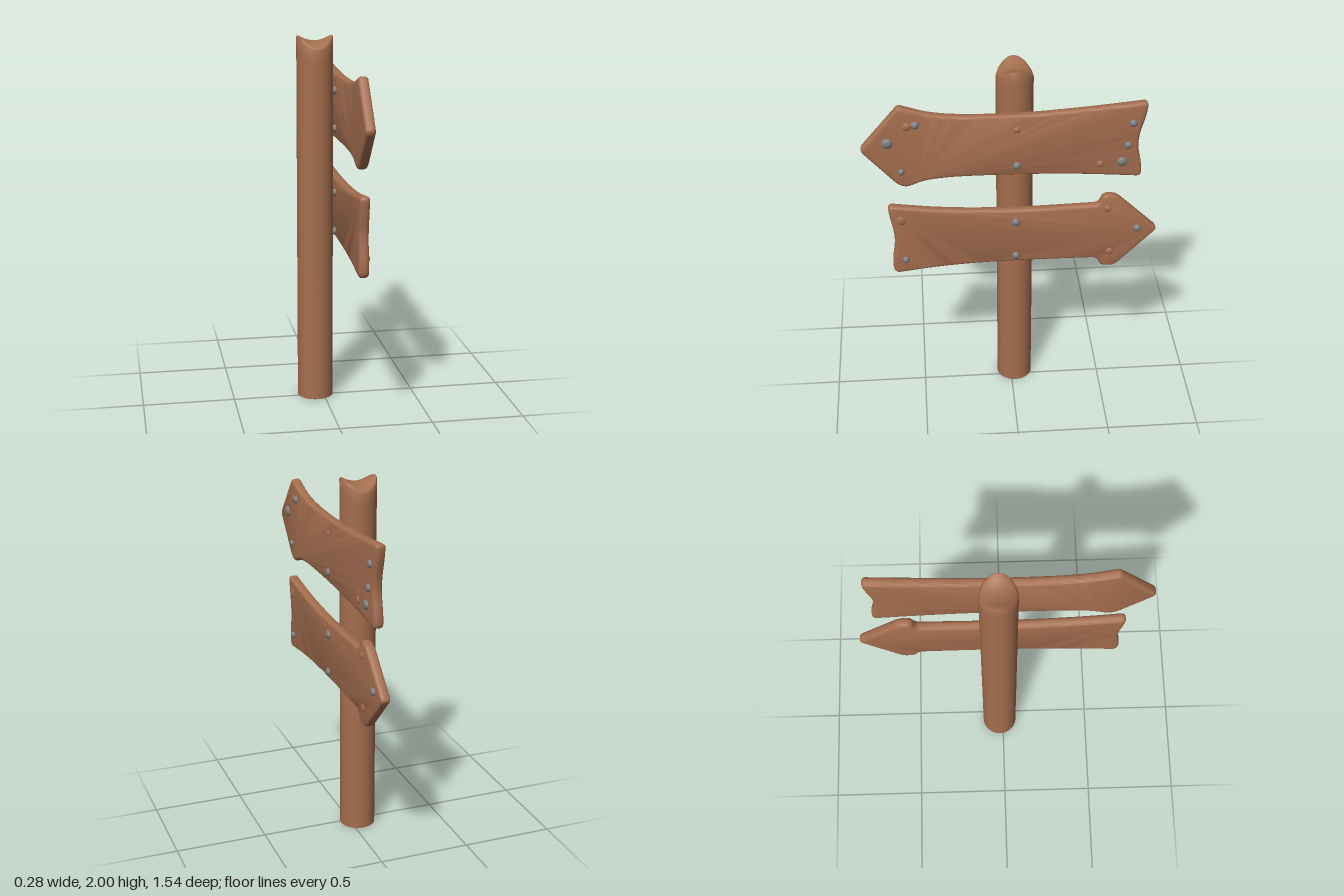
import * as THREE from 'three';
import { toCreasedNormals } from 'three/addons/utils/BufferGeometryUtils.js';

const wood = new THREE.MeshStandardMaterial({ color: 0xa56e4f });
wood.name = 'wood';
const iron = new THREE.MeshStandardMaterial({ color: 0x7c7c7e });
iron.name = 'iron';

const S = Infinity; // corner radius that blends a point into a smooth curve

// Closed outline from [u, y, cornerRadius] points
function roundedShape(points) {
  const shape = new THREE.Shape();
  const n = points.length;
  const toward = (p, q, r) => {
    const d = Math.hypot(q[0] - p[0], q[1] - p[1]);
    const t = Math.min(r / d, 0.5);
    return [p[0] + (q[0] - p[0]) * t, p[1] + (q[1] - p[1]) * t];
  };
  points.forEach((p, i) => {
    const a = toward(p, points[(i + n - 1) % n], p[2]);
    const b = toward(p, points[(i + 1) % n], p[2]);
    if (i === 0) shape.moveTo(...a);
    else shape.lineTo(...a);
    shape.quadraticCurveTo(p[0], p[1], ...b);
  });
  shape.closePath();
  return shape;
}

// Thick plank with softened edges, lying in the y-z plane
function board(name, points) {
  const bevel = 0.017;
  const geo = new THREE.ExtrudeGeometry(roundedShape(points), {
    depth: 0.053 - 2 * bevel, curveSegments: 8,
    bevelThickness: bevel, bevelSize: bevel, bevelOffset: -bevel, bevelSegments: 4,
  });
  geo.translate(0, 0, bevel).rotateY(Math.PI / 2).translate(0.07, 0, 0);
  const mesh = new THREE.Mesh(toCreasedNormals(geo, 0.8), wood);
  mesh.name = name;
  return mesh;
}

// Domed stud on the face of a board
function stud(name, u, y, r, height, material) {
  const mesh = new THREE.Mesh(new THREE.SphereGeometry(1, 16, 10), material);
  mesh.scale.set(height, r, r);
  mesh.position.set(0.121, y, -u);
  mesh.name = name;
  return mesh;
}

// Round post whose top is cut to a saddle
function post() {
  const r = 0.097, h = 1.972;
  const profile = [
    [0, 0], [r, 0], [r, 1.9], [r, h - 0.014], [r - 0.004, h - 0.004], [r - 0.013, h],
    [0.065, h], [0.045, h], [0.022, h], [0, h],
  ].map(([x, y]) => new THREE.Vector2(x, y));
  const geo = new THREE.LatheGeometry(profile, 40);
  const p = geo.attributes.position;
  for (let i = 0; i < p.count; i++) {
    if (p.getY(i) < 1.5) continue;
    const x = p.getX(i) / r, z = p.getZ(i) / r;
    p.setY(i, p.getY(i) + 0.034 * (x * x - z * z));
  }
  const mesh = new THREE.Mesh(toCreasedNormals(geo, 0.9), wood);
  mesh.position.set(-0.043, 0, -0.02);
  mesh.name = 'post';
  return mesh;
}

export function createModel() {
  const group = new THREE.Group();
  group.name = 'signpost';
  group.add(post());

  // Arrow boards
  group.add(board('upperArrowBoard', [
    [-0.78, 1.62, 0.03], [-0.595, 1.41, 0.03], [-0.55, 1.39, 0.03], [-0.42, 1.443, S],
    [0.02, 1.443, S], [0.35, 1.43, S], [0.665, 1.402, 0.025], [0.67, 1.46, S],
    [0.635, 1.61, S], [0.68, 1.77, S], [0.685, 1.838, 0.025], [0.4, 1.81, S],
    [0.02, 1.785, S], [-0.38, 1.795, S], [-0.575, 1.862, 0.02],
  ]));
  group.add(board('lowerArrowBoard', [
    [-0.655, 1.278, 0.03], [-0.645, 1.2, S], [-0.62, 1.07, S], [-0.645, 0.92, S],
    [-0.635, 0.848, 0.035], [-0.35, 0.885, S], [0.02, 0.897, S], [0.455, 0.892, 0.03],
    [0.475, 0.838, 0.03], [0.55, 0.835, 0.03], [0.775, 1.066, 0.025],
    [0.545, 1.288, 0.035], [0.475, 1.292, 0.035], [0.455, 1.232, 0.03],
    [0.02, 1.22, S], [-0.35, 1.235, S],
  ]));

  // Iron bolt heads: along the board, height, radius
  [
    [-0.637, 1.66, 0.029], [-0.493, 1.76, 0.022], [-0.573, 1.49, 0.018], [0.02, 1.5, 0.023],
    [0.61, 1.724, 0.021], [0.59, 1.597, 0.022], [0.562, 1.5, 0.027],
    [-0.573, 0.939, 0.02], [0.016, 1.15, 0.024], [0.016, 0.936, 0.022], [0.663, 1.08, 0.023],
  ].forEach(([u, y, r]) => group.add(stud('boltHead', u, y, r, 0.018, iron)));

  // Wooden pegs
  [
    [-0.535, 1.752, 0.022], [0.02, 1.71, 0.018], [0.45, 1.49, 0.02],
    [-0.588, 1.19, 0.027], [0.5, 1.21, 0.02], [0.52, 0.935, 0.022],
  ].forEach(([u, y, r]) => group.add(stud('woodPeg', u, y, r, 0.009, wood)));

  // Bolt shafts joining boards to post
  for (const y of [1.705, 1.5, 1.15, 0.936]) {
    const shaft = new THREE.Mesh(new THREE.CylinderGeometry(0.021, 0.021, 0.05, 16), iron);
    shaft.rotation.z = Math.PI / 2;
    shaft.position.set(0.06, y, -0.02);
    shaft.name = 'boltShaft';
    group.add(shaft);
  }
  return group;
}
